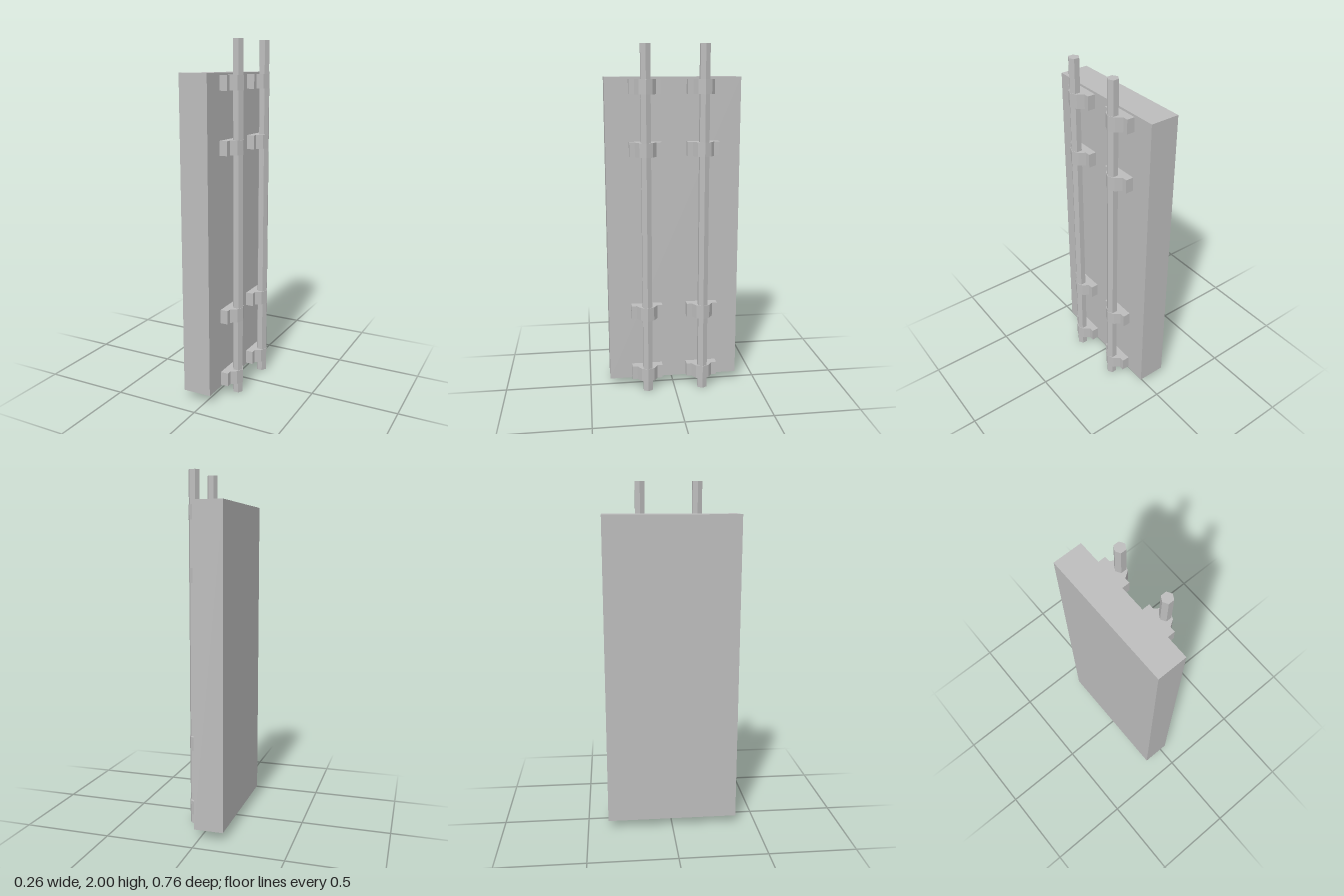
import * as THREE from 'three';

export function createModel() {
  const model = new THREE.Group();
  const grey = new THREE.MeshStandardMaterial({ color: 0xbcbcbc });
  grey.name = 'grey metal';

  const add = (name, geometry, x, y, z) => {
    const mesh = new THREE.Mesh(geometry, grey);
    mesh.name = name;
    mesh.position.set(x, y, z);
    model.add(mesh);
  };

  // Upright slab
  add('panel', new THREE.BoxGeometry(0.166, 1.776, 0.762), -0.051, 0.937, 0);

  // Six-sided rod with corners pointing along x
  const rod = new THREE.CylinderGeometry(0.031, 0.031, 2, 6, 1, false, Math.PI / 2).toNonIndexed();
  rod.computeVertexNormals();

  // Clamp cross-section: flat feet against the panel, faceted nose around the rod
  const half = [[0.033, 0.09], [0.078, 0.09], [0.078, 0.06], [0.112, 0.038]];
  const outline = [
    ...half.map(([x, z]) => new THREE.Vector2(x, -z)),
    new THREE.Vector2(0.13, 0),
    ...half.map(([x, z]) => new THREE.Vector2(x, z)).reverse(),
  ];
  const clamp = new THREE.ExtrudeGeometry(new THREE.Shape(outline), { depth: 0.08, bevelEnabled: false });
  clamp.rotateX(-Math.PI / 2);

  // Two rods, each held by four clamps
  for (const z of [-0.164, 0.161]) {
    add('rod', rod, 0.097, 1, z);
    for (const y of [0.06, 0.44, 1.392, 1.733]) add('clamp', clamp, 0, y, z);
  }
  return model;
}
